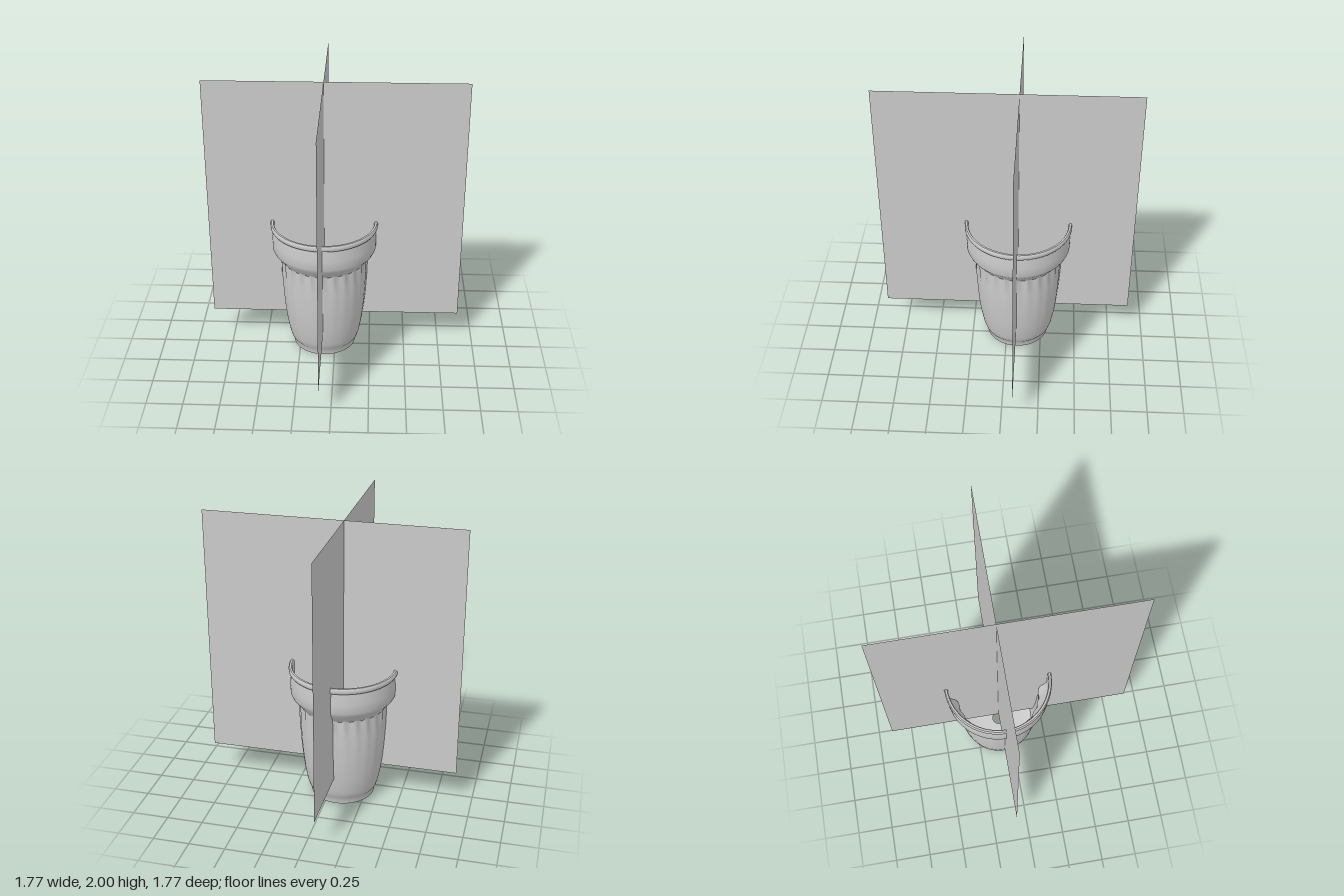
import * as THREE from 'three';
import { toCreasedNormals } from 'three/addons/utils/BufferGeometryUtils.js';

const AXIS = -0.078; // the pot axis, in both x and z
const FLUTES = 24;
const FLUTE_TOP = 0.7;

const material = new THREE.MeshStandardMaterial({ color: 0xcccccc, side: THREE.DoubleSide });

// Wall outline: drain hole, recessed base, foot, body, collar, lip, then down the inside.
const outline = [
  [0.045, 0.12], [0.13, 0.115], [0.19, 0.09], [0.205, 0.05], [0.212, 0],
  [0.222, 0], [0.226, 0.04], [0.238, 0.055], [0.252, 0.1], [0.271, 0.2], [0.284, 0.3],
  [0.293, 0.4], [0.303, 0.56], [0.306, 0.7],
  [0.312, 0.712], [0.352, 0.762], [0.362, 0.785], [0.363, 0.85], [0.357, 0.93],
  [0.367, 0.935], [0.373, 0.945], [0.373, 0.965], [0.367, 0.975],
  [0.354, 0.975], [0.348, 0.965], [0.35, 0.85], [0.349, 0.79], [0.34, 0.768],
  [0.302, 0.715], [0.296, 0.7], [0.293, 0.56], [0.283, 0.4],
  [0.274, 0.3], [0.261, 0.2], [0.245, 0.145], [0.2, 0.13], [0.13, 0.128], [0.045, 0.128],
  [0.045, 0.12],
];

// How deep the flutes are at a height: strongest under the collar, fading downwards.
function fluteDepth(y) {
  if (y > FLUTE_TOP + 0.001 || y < 0.14) return 0;
  const t = y >= 0.56
    ? THREE.MathUtils.mapLinear(y, 0.56, FLUTE_TOP, 0.3, 1)
    : THREE.MathUtils.mapLinear(y, 0.14, 0.56, 0, 0.3);
  return 0.012 * t;
}

function createPot() {
  const points = outline.map(([r, y]) => new THREE.Vector2(r, y));
  const geometry = new THREE.LatheGeometry(points, FLUTES * 4);
  const position = geometry.attributes.position;

  // Scoop the wall inwards between sharp ridges
  for (let i = 0; i < position.count; i++) {
    const x = position.getX(i), y = position.getY(i), z = position.getZ(i);
    const r = Math.hypot(x, z);
    if (r < 0.22) continue;
    const scoop = Math.abs(Math.sin(Math.atan2(x, z) * FLUTES / 2));
    const depth = fluteDepth(y) * scoop;
    const scale = (r - depth) / r;
    position.setXYZ(i, x * scale, y - (y > 0.69 ? depth : 0), z * scale);
  }

  const pot = new THREE.Mesh(toCreasedNormals(geometry, 0.6), material);
  pot.name = 'pot';
  pot.position.set(AXIS, 0, AXIS);
  return pot;
}

// Upright square card, crossing the pot axis
function createCard(name, alongZ) {
  const card = new THREE.Mesh(new THREE.PlaneGeometry(1.772, 1.772), material);
  card.name = name;
  card.position.set(alongZ ? AXIS : 0, 1.114, alongZ ? 0 : AXIS);
  if (alongZ) card.rotation.y = Math.PI / 2;
  return card;
}

export function createModel() {
  const model = new THREE.Group();
  model.name = 'pottedPlant';
  model.add(
    createPot(),
    createCard('foliageCardAcross', false),
    createCard('foliageCardDeep', true),
  );
  return model;
}
